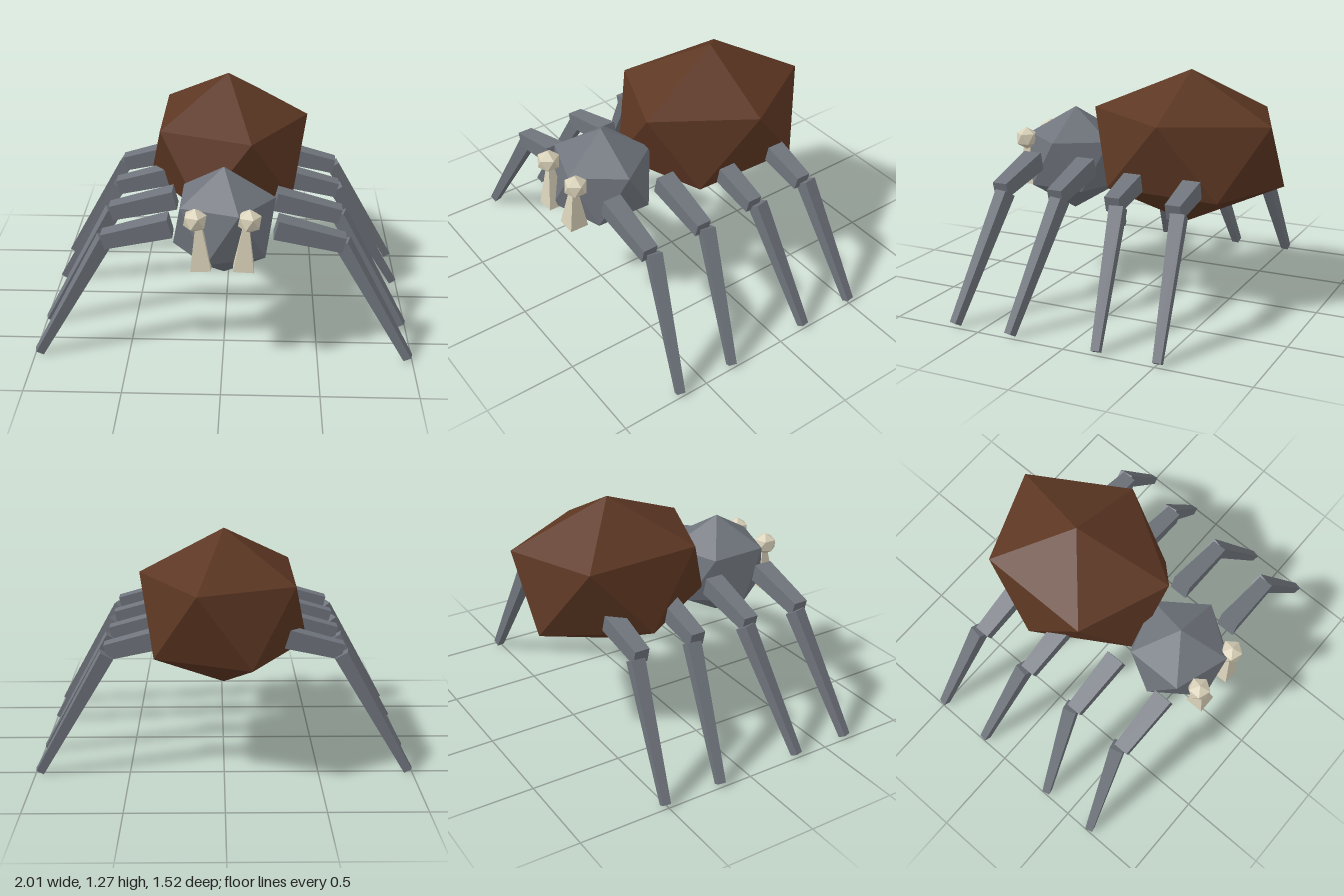
import * as THREE from 'three';
import { ConvexGeometry } from 'three/addons/geometries/ConvexGeometry.js';

const V = (x, y, z) => new THREE.Vector3(x, y, z);

// Faceted ball: icosahedron standing on its pole
function icoBall(rx, ry, rz) {
  const pts = [V(0, ry, 0), V(0, -ry, 0)];
  const r = 2 / Math.sqrt(5), h = 1 / Math.sqrt(5);
  for (let k = 0; k < 5; k++) {
    const a = (k * 2 * Math.PI) / 5, b = a + Math.PI / 5;
    pts.push(V(rx * r * Math.cos(a), ry * h, rz * r * Math.sin(a)));
    pts.push(V(rx * r * Math.cos(b), -ry * h, rz * r * Math.sin(b)));
  }
  return new ConvexGeometry(pts);
}

// Square bar from a to b, tapering from width wa to width wb
function taperedBar(a, b, wa, wb, ref = V(0, 1, 0)) {
  const dir = b.clone().sub(a), len = dir.length();
  dir.normalize();
  const side = ref.clone().cross(dir).normalize();
  const up = dir.clone().cross(side);
  const geo = new THREE.BoxGeometry(1, 1, len);
  const p = geo.attributes.position;
  for (let i = 0; i < p.count; i++) {
    const w = p.getZ(i) < 0 ? wa : wb;
    p.setXY(i, p.getX(i) * w, p.getY(i) * w);
  }
  const mid = a.clone().add(b).multiplyScalar(0.5);
  geo.applyMatrix4(new THREE.Matrix4().makeBasis(side, up, dir).setPosition(mid));
  geo.computeVertexNormals();
  return geo;
}

export function createModel() {
  const model = new THREE.Group();
  model.name = 'spider';
  const mat = (name, color) => {
    const m = new THREE.MeshStandardMaterial({ color });
    m.name = name;
    return m;
  };
  const brown = mat('brown', 0x5c3622);
  const grey = mat('grey', 0x70757d);
  const cream = mat('cream', 0xd8d0b8);
  const add = (name, geo, material, parent = model) => {
    const mesh = new THREE.Mesh(geo, material);
    mesh.name = name;
    parent.add(mesh);
    return mesh;
  };

  // Body, tipped very slightly back
  const abdomen = add('abdomen', icoBall(0.5, 0.427, 0.6), brown);
  abdomen.position.set(0, 0.848, -0.247);
  abdomen.rotation.x = -0.0245;
  const head = add('head', icoBall(0.3, 0.3, 0.3), grey);
  head.position.set(0, 0.715, 0.463);
  head.rotation.x = -0.0245;

  // Legs: hip z, knee z, foot z
  const legs = [
    [0.58, 0.555, 0.653],
    [0.247, 0.222, 0.32],
    [-0.088, -0.118, -0.175],
    [-0.425, -0.455, -0.508],
  ];

  for (const s of [1, -1]) {
    const label = s > 0 ? 'left' : 'right';

    // Eyes and fangs
    add(label + 'Eye', icoBall(0.066, 0.064, 0.066), cream).position.set(s * 0.136, 0.832, 0.705);
    add(label + 'Fang', taperedBar(V(s * 0.107, 0.572, 0.71), V(s * 0.12, 0.83, 0.707),
      0.105, 0.022, V(0, 0, 1)), cream);

    legs.forEach(([hip, knee, foot], i) => {
      const leg = new THREE.Group();
      leg.name = label + 'Leg' + (i + 1);
      add('upperLeg', taperedBar(V(s * 0.27, 0.743, hip), V(s * 0.618, 0.656, hip),
        0.105, 0.083), grey, leg);
      add('lowerLeg', taperedBar(V(s * 0.613, 0.645, knee), V(s * 0.979, 0.013, foot),
        0.076, 0.044), grey, leg);
      model.add(leg);
    });
  }
  return model;
}
